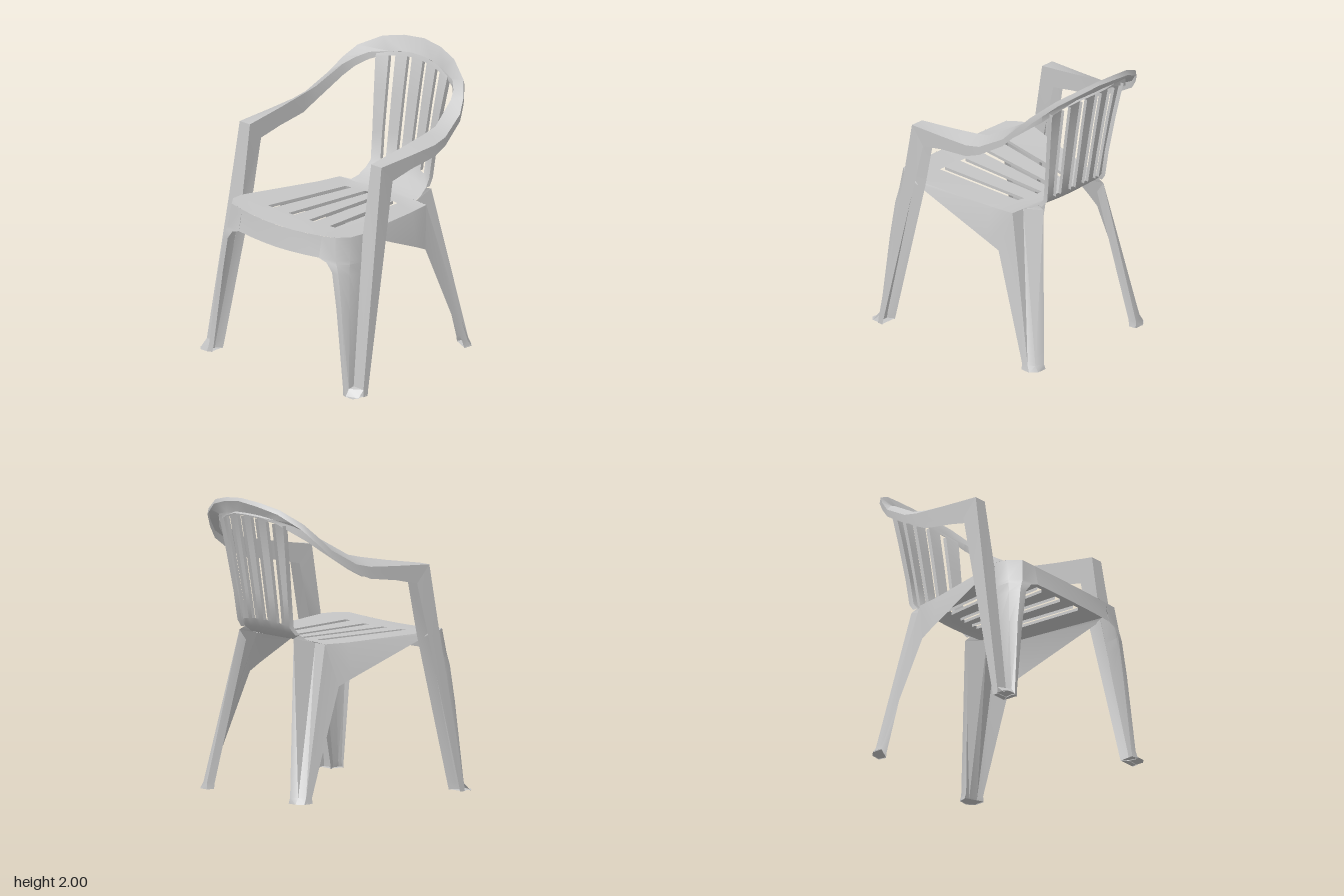
import * as THREE from 'three';
import { toCreasedNormals } from 'three/addons/utils/BufferGeometryUtils.js';

const plastic = new THREE.MeshStandardMaterial({ color: 0xc6c6c6, side: THREE.DoubleSide });
plastic.name = 'light grey plastic';

// Sheet through rows of [x, y, z] points; skip(row, column) leaves holes.
function sheet(rows, skip = () => false) {
  const n = rows[0].length, index = [];
  for (let i = 0; i < rows.length - 1; i++) {
    for (let j = 0; j < n - 1; j++) {
      if (skip(i, j)) continue;
      const a = i * n + j, b = a + n;
      index.push(a, b, a + 1, a + 1, b, b + 1);
    }
  }
  const g = new THREE.BufferGeometry();
  g.setAttribute('position', new THREE.Float32BufferAttribute(rows.flat(2), 3));
  g.setIndex(index);
  return toCreasedNormals(g, 0.6);
}

export function createModel() {
  const chair = new THREE.Group();
  chair.name = 'chair';
  const add = (name, rows, skip) => {
    const m = new THREE.Mesh(sheet(rows, skip), plastic);
    m.name = name;
    chair.add(m);
  };
  const mirror = rows => rows.map(r => r.map(([x, y, z]) => [-x, y, z]));
  const addPair = (name, rows) => {
    add(name + 'Left', rows);
    add(name + 'Right', mirror(rows));
  };

  // Seat and backrest: [half widths at slot edges, y, z, dy and dz at the outer edge]
  const profile = [
    [[.08, .13, .27, .32, .48], 1.035, .68, .025, -.04],
    [[.075, .125, .265, .315, .545], 1.04, .56, .02, 0],
    [[.07, .12, .26, .31, .555], 1.04, .47, .02, 0],
    [[.04, .083, .19, .24, .431], 1.03, -.215, 0, .08],
    [[.04, .083, .185, .23, .40], 1.03, -.30, 0, 0],
    [[.04, .083, .18, .22, .30], 1.035, -.325, 0, .02],
    [[.04, .083, .175, .215, .29], 1.06, -.40, -.01, .04],
    [[.04, .082, .165, .205, .28], 1.11, -.46, -.02, .04],
    [[.04, .08, .16, .20, .27], 1.175, -.505, -.035, .045],
    [[.042, .083, .165, .21, .28], 1.35, -.535, -.02, .05],
    [[.046, .087, .175, .222, .305], 1.62, -.58, -.03, .055],
    [[.05, .09, .185, .235, .33], 1.87, -.625, -.05, .06],
    [[.05, .09, .185, .235, .33], 1.90, -.635, -.06, .06],
  ];
  const rows = profile.map(([w, y, z, dy, dz]) =>
    [...w.map(v => -v).reverse(), ...w].map(x => {
      const t = (x / w[4]) ** 2;
      return [x, y + dy * t, z + dz * t];
    }));
  const slotted = i => i === 2 || (i >= 8 && i <= 10);
  add('seatAndBack', rows, (i, j) => slotted(i) && j % 2 === 1);

  // Narrow ribs along the slot edges
  for (let j = 1; j < 9; j++) {
    const rib = (from, to, dy, dz) => rows.slice(from, to)
      .map(r => [r[j], [r[j][0], r[j][1] + dy, r[j][2] + dz]]);
    add('seatRib', rib(2, 4, -.02, 0));
    add('backRib', rib(8, 12, 0, -.025));
  }
  addPair('backSideRib', rows.slice(7).map(r => [r[9], [r[9][0], r[9][1], r[9][2] - .035]]));

  // Armrests and top hoop: [outer edge, inner edge, outer lip, inner lip]
  const half = [
    [[.655, 1.53, .385], [.56, 1.53, .385], [0, -.12, -.105], [0, -.12, -.105]],
    [[.655, 1.545, .10], [.56, 1.575, .10], [0, -.095, 0], [0, -.125, 0]],
    [[.655, 1.56, -.12], [.56, 1.615, -.12], [0, -.08, 0], [0, -.13, 0]],
    [[.645, 1.585, -.23], [.555, 1.64, -.23], [0, -.06, 0], [0, -.10, 0]],
    [[.605, 1.69, -.41], [.50, 1.76, -.43], [0, -.05, 0], [0, -.08, 0]],
    [[.56, 1.78, -.49], [.455, 1.80, -.50], [0, -.05, 0], [0, -.06, 0]],
    [[.49, 1.865, -.56], [.385, 1.84, -.56], [0, -.04, -.01], [0, -.05, 0]],
    [[.33, 1.95, -.635], [.25, 1.87, -.605], [0, -.03, -.015], [0, -.02, 0]],
    [[.17, 1.985, -.675], [.13, 1.89, -.63], [0, -.025, -.02], [0, -.01, -.01]],
    [[0, 2.0, -.69], [0, 1.895, -.64], [0, -.02, -.02], [0, -.01, -.01]],
  ].map(([o, n, lo, li]) => [o.map((v, k) => v + lo[k]), o, n, n.map((v, k) => v + li[k])]);
  add('armsAndHoop', [...half, ...mirror(half.slice(0, -1)).reverse()]);

  // Front struts: outer, front and inner faces
  addPair('frontStrut', [
    [[.655, 1.41, .28], [.655, 1.53, .385], [.56, 1.53, .385], [.56, 1.41, .28]],
    [[.675, 1.05, .36], [.675, 1.05, .46], [.555, 1.05, .46], [.555, 1.05, .36]],
    [[.724, .05, .58], [.724, .05, .625], [.637, .05, .63], [.605, .05, .58]],
    [[.727, 0, .59], [.727, 0, .63], [.64, 0, .635], [.61, 0, .59]],
  ]);

  // Rounded front leg panels running down from the apron corners
  addPair('frontLegPanel', [
    [[.555, 1.06, .46], [.545, 1.06, .56], [.48, 1.06, .64], [.37, 1.05, .656]],
    [[.568, .905, .485], [.56, .905, .585], [.50, .905, .66], [.37, .905, .685]],
    [[.571, .875, .49], [.563, .88, .59], [.51, .88, .66], [.435, .885, .68]],
    [[.576, .80, .50], [.57, .81, .60], [.53, .82, .665], [.482, .825, .675]],
    [[.593, .58, .537], [.592, .58, .62], [.57, .58, .675], [.525, .58, .678]],
    [[.637, .05, .63], [.642, .05, .68], [.63, .05, .70], [.597, .05, .69]],
    [[.64, 0, .635], [.65, 0, .69], [.64, 0, .71], [.605, 0, .695]],
  ]);

  // Front feet: sloping toe and sole
  addPair('frontToe', [
    [[.637, .055, .63], [.724, .05, .625]],
    [[.642, .05, .68], [.728, 0, .68]],
    [[.64, 0, .71], [.70, 0, .71]],
  ]);
  addPair('frontSole', [
    [[.727, .005, .59], [.61, .005, .59]],
    [[.728, .005, .68], [.605, .005, .695]],
    [[.70, .005, .71], [.64, .005, .71]],
  ]);

  // Apron under the front edge of the seat
  const apron = [[.37, .905], [.24, .899], [.12, .895], [0, .893]].map(([x, y]) => {
    const t = (x / .48) ** 2, top = 1.035 + .025 * t, z = .68 - .04 * t;
    return [[x, top, z], [x, .98, z + .01], [x, y, z + .028]];
  });
  add('frontApron', [...apron, ...mirror(apron.slice(0, -1)).reverse()]);

  // Tapering skirts along the sides of the seat
  addPair('sideSkirt', [
    [[.555, 1.06, .47], [.56, 1.04, .45]],
    [[.431, 1.03, -.135], [.477, .795, -.13]],
    [[.40, 1.03, -.30], [.46, .75, -.23]],
  ]);

  // Rear legs: side, slanted corner, rear and inner faces
  addPair('rearLeg', [
    [[.46, .75, -.23], [.40, 1.03, -.30], [.30, 1.03, -.30], [.28, 1.07, -.47], [.26, 1.0, -.43]],
    [[.525, .04, -.515], [.523, .04, -.565], [.49, .04, -.605], [.43, .04, -.625], [.415, .04, -.57]],
    [[.535, 0, -.52], [.535, 0, -.59], [.49, 0, -.63], [.42, 0, -.63], [.41, 0, -.58]],
  ]);
  addPair('rearSole', [
    [[.535, .005, -.52], [.41, .005, -.58]],
    [[.535, .005, -.59], [.42, .005, -.63]],
    [[.49, .005, -.63], [.42, .005, -.63]],
  ]);

  // Corner gussets joining the rear legs to the curve of the back
  addPair('cornerGusset', [
    [[.30, 1.03, -.30], [.29, 1.05, -.36]],
    [[.28, 1.07, -.47], [.28, 1.09, -.42]],
  ]);
  return chair;
}
